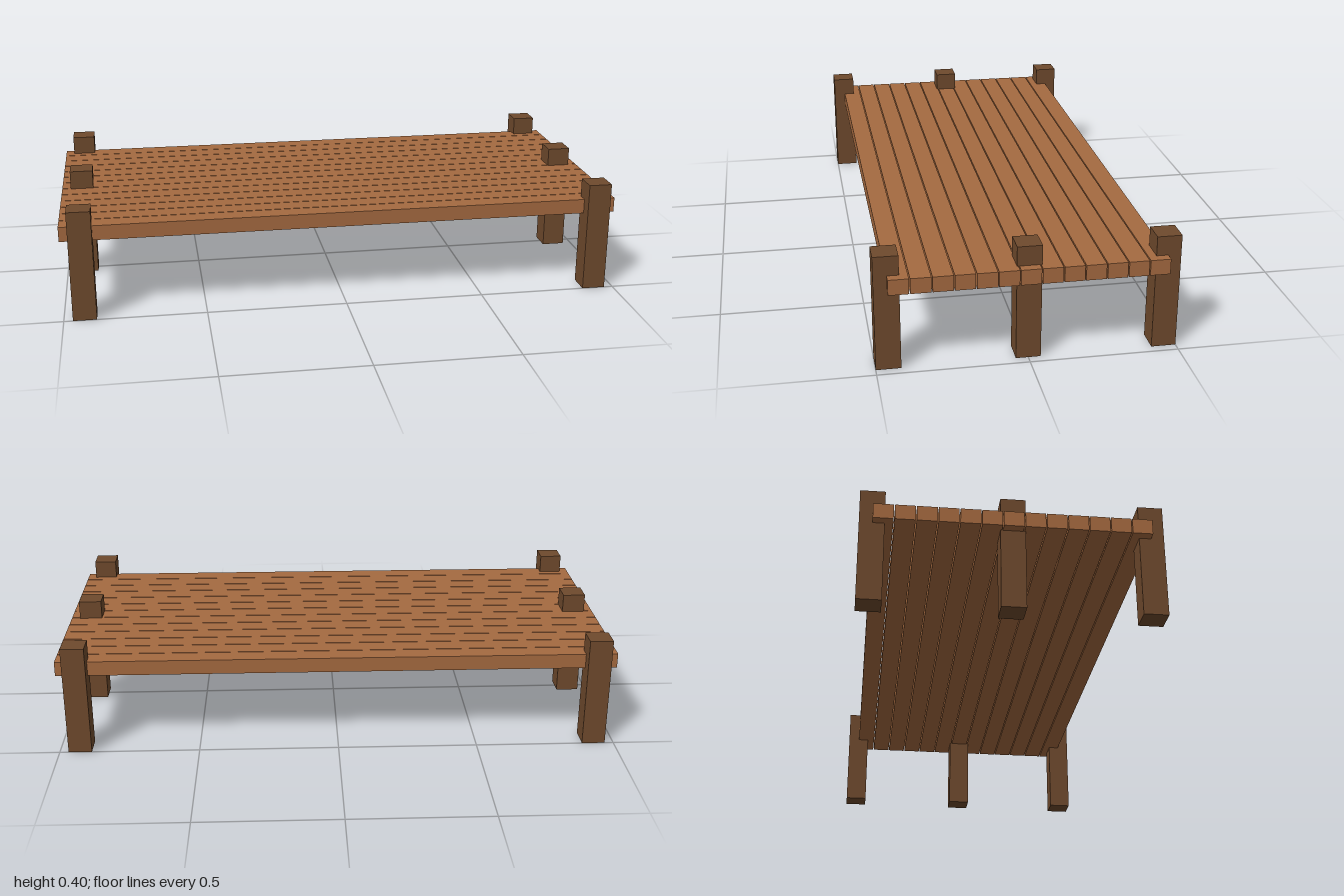
import * as THREE from 'three';

export function createModel() {
  const group = new THREE.Group();
  const plankWood = new THREE.MeshStandardMaterial({ color: 0xa56a40 });
  plankWood.name = 'plankWood';
  const postWood = new THREE.MeshStandardMaterial({ color: 0x6f4a2d });
  postWood.name = 'postWood';

  function add(name, geometry, material, x, y, z) {
    const mesh = new THREE.Mesh(geometry, material);
    mesh.name = name;
    mesh.position.set(x, y, z);
    group.add(mesh);
  }

  // Deck: thirteen planks with narrow gaps
  const plankCount = 13, pitch = 0.0705;
  const plank = new THREE.BoxGeometry(2, 0.053, 0.067);
  for (let i = 0; i < plankCount; i++) {
    add('plank', plank, plankWood, 0, 0.3065, (i - (plankCount - 1) / 2) * pitch);
  }

  // Posts: three along each end, rising through the deck
  const post = new THREE.BoxGeometry(0.083, 0.4, 0.083);
  for (const x of [-0.927, 0.927]) {
    for (const z of [-0.4585, 0, 0.4585]) add('post', post, postWood, x, 0.2, z);
  }

  return group;
}
